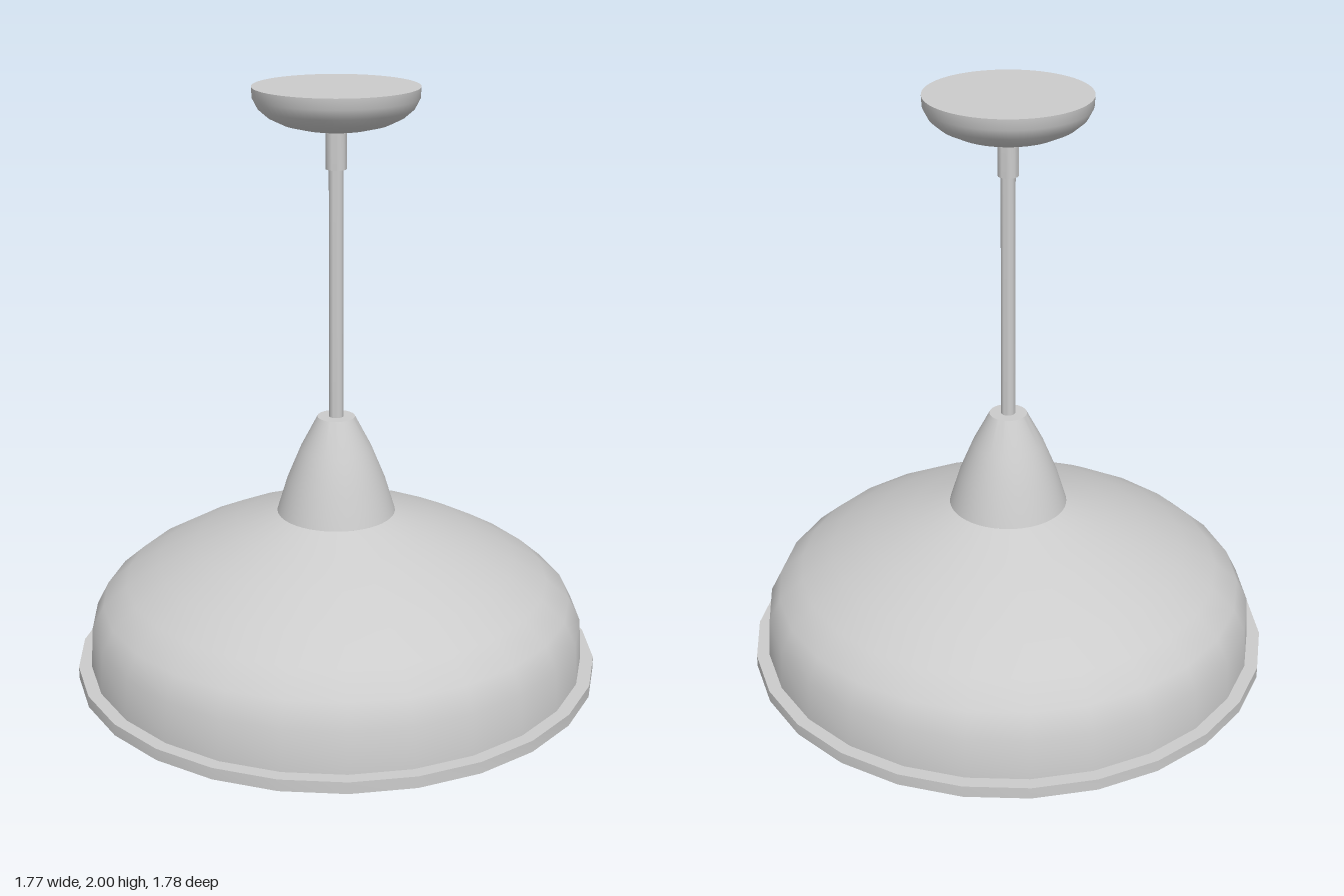
import * as THREE from 'three';
import { toCreasedNormals } from 'three/addons/utils/BufferGeometryUtils.js';

export function createModel() {
  const group = new THREE.Group();
  const solid = new THREE.MeshStandardMaterial({ color: 0xcccccc });
  const thin = new THREE.MeshStandardMaterial({ color: 0xcccccc, side: THREE.DoubleSide });

  // Turns a [radius, height] profile, listed from the bottom up on the outside
  function turn(name, profile, sides, material = solid) {
    const points = profile.map(([r, y]) => new THREE.Vector2(r, y));
    const geometry = toCreasedNormals(new THREE.LatheGeometry(points, sides), 0.65);
    const mesh = new THREE.Mesh(geometry, material);
    mesh.name = name;
    group.add(mesh);
  }

  // Flat ring around the mouth of the shade
  turn('shadeRim', [
    [0.845, 0.04], [0.845, 0], [0.892, 0], [0.892, 0.04], [0.845, 0.04],
  ], 26);

  // Thin open bell
  turn('shade', [
    [0.848, 0.04], [0.84, 0.18], [0.8, 0.26], [0.72, 0.33],
    [0.61, 0.395], [0.48, 0.46], [0.34, 0.515], [0.2, 0.565],
  ], 26, thin);

  // Tapered socket cover on top of the shade
  turn('socketCover', [
    [0, 0.565], [0.2, 0.565], [0.165, 0.68], [0.12, 0.79], [0.063, 0.9], [0, 0.9],
  ], 48);

  // Hanging rod and the collar that joins it to the canopy
  turn('rod', [[0, 0.88], [0.024, 0.88], [0.024, 1.76], [0, 1.76]], 24);
  turn('collar', [[0, 1.735], [0.034, 1.735], [0.034, 1.88], [0, 1.88]], 24);

  // Rounded ceiling canopy with a flat top
  turn('ceilingCanopy', [
    [0, 1.859], [0.06, 1.862], [0.12, 1.87], [0.175, 1.884], [0.22, 1.906],
    [0.25, 1.932], [0.267, 1.965], [0.269, 2], [0, 2],
  ], 64);

  return group;
}
